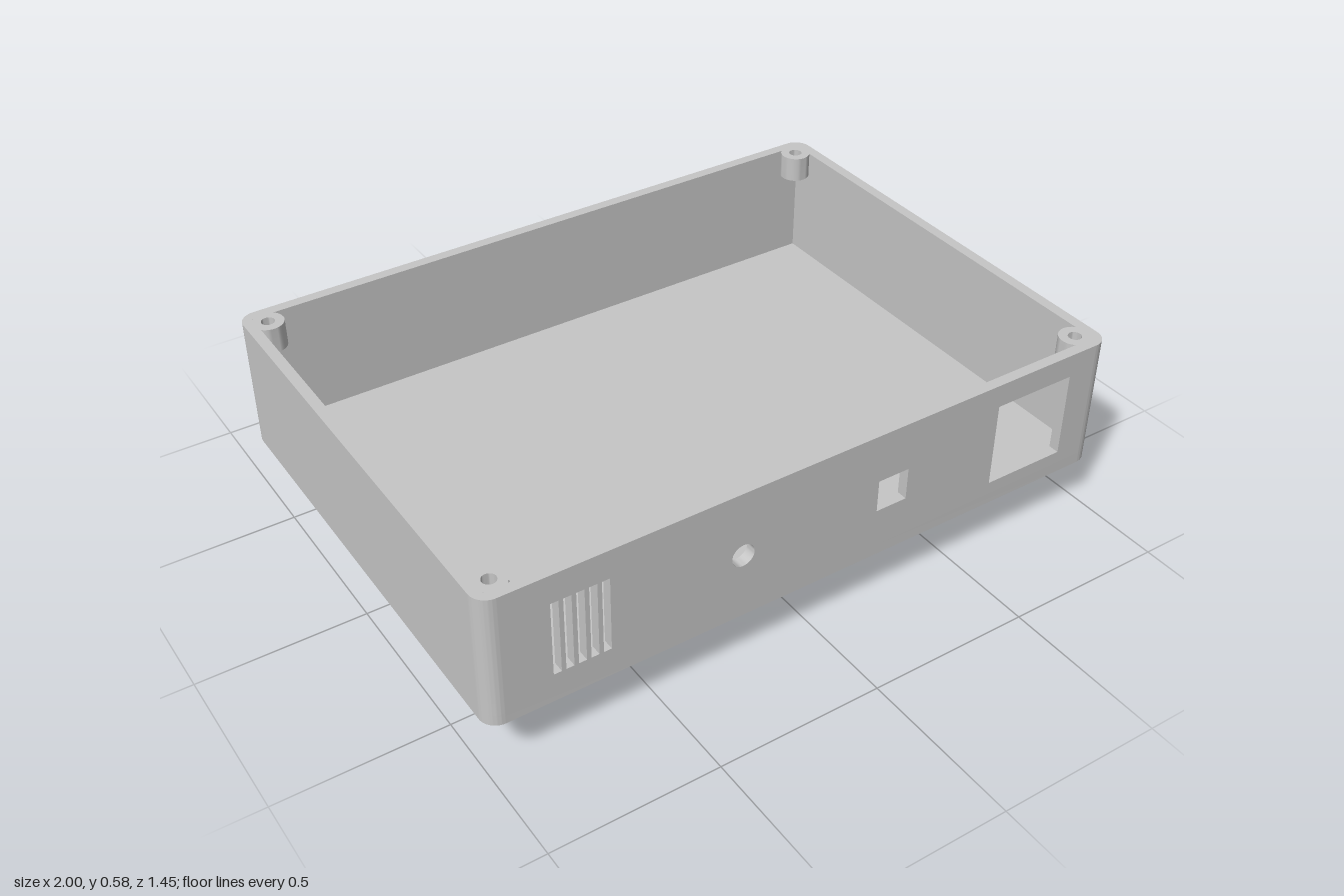
import * as THREE from 'three';
import { toCreasedNormals } from 'three/addons/utils/BufferGeometryUtils.js';

const W = 1, D = 0.725, R = 0.05, WALL = 0.033;
const BASE = 0.173, FLOOR = 0.207, TOP = 0.583;
const Wi = W - WALL, Di = D - WALL, cx = W - R, cz = D - R;

const plastic = new THREE.MeshStandardMaterial({ color: 0xc6c6c6 });
plastic.name = 'greyPlastic';

function extrude(shape, depth) {
  const g = new THREE.ExtrudeGeometry(shape, { depth, bevelEnabled: false, curveSegments: 16 });
  return toCreasedNormals(g, 0.6);
}

// Extrude a plan shape (shape y = -z) upwards between two heights
function slab(name, shape, y0, y1) {
  const g = extrude(shape, y1 - y0);
  g.rotateX(-Math.PI / 2);
  g.translate(0, y0, 0);
  const m = new THREE.Mesh(g, plastic);
  m.name = name;
  return m;
}

// Rounded outer outline, open along the front edge
function outline() {
  const s = new THREE.Shape();
  s.moveTo(-cx, -D);
  s.absarc(-cx, -cz, R, -Math.PI / 2, -Math.PI, true);
  s.absarc(-cx, cz, R, Math.PI, Math.PI / 2, true);
  s.absarc(cx, cz, R, Math.PI / 2, 0, true);
  s.absarc(cx, -cz, R, 0, -Math.PI / 2, true);
  return s;
}

function disc(Type, x, y, r) {
  const p = new Type();
  p.absarc(x, y, r, 0, Math.PI * 2, false);
  return p;
}

function tubeShape(outer, inner) {
  const s = disc(THREE.Shape, 0, 0, outer);
  s.holes.push(disc(THREE.Path, 0, 0, inner));
  return s;
}

function rect(Type, x0, y0, x1, y1) {
  const p = new Type();
  p.moveTo(x0, y0);
  p.lineTo(x1, y0);
  p.lineTo(x1, y1);
  p.lineTo(x0, y1);
  p.closePath();
  return p;
}

export function createModel() {
  const model = new THREE.Group();
  model.name = 'enclosure';

  // Floor plate
  model.add(slab('floor', outline(), BASE, FLOOR));

  // Side and back walls, with the rounded front corners
  const walls = outline();
  [[cx, -Di], [Wi, -Di], [Wi, Di], [-Wi, Di], [-Wi, -Di], [-cx, -Di]]
    .forEach(([x, y]) => walls.lineTo(x, y));
  walls.closePath();
  model.add(slab('sideAndBackWalls', walls, FLOOR, TOP));

  // Front wall with vent slots, round hole and two rectangular ports
  const front = rect(THREE.Shape, -cx, FLOOR, cx, TOP);
  for (let i = 0; i < 5; i++) {
    const x = -0.812 + i * 0.036;
    front.holes.push(rect(THREE.Path, x, 0.263, x + 0.023, 0.495));
  }
  front.holes.push(disc(THREE.Path, -0.248, 0.379, 0.035));
  front.holes.push(rect(THREE.Path, 0.19, 0.328, 0.29, 0.429));
  front.holes.push(rect(THREE.Path, 0.6, 0.246, 0.862, 0.51));
  const frontWall = new THREE.Mesh(extrude(front, WALL), plastic);
  frontWall.name = 'frontWall';
  frontWall.position.z = Di;
  model.add(frontWall);

  // Screw bosses in the corners
  for (const sx of [-1, 1]) {
    for (const sz of [-1, 1]) {
      const boss = slab('screwBoss', tubeShape(0.047, 0.02), TOP - 0.08, TOP);
      boss.position.set(sx * 0.933, 0, sz * 0.657);
      model.add(boss);
    }
  }

  // Hollow feet under the floor
  for (const sx of [-1, 1]) {
    const foot = slab('foot', tubeShape(0.11, 0.068), 0, BASE);
    foot.position.x = sx * 0.455;
    model.add(foot);
  }
  return model;
}
